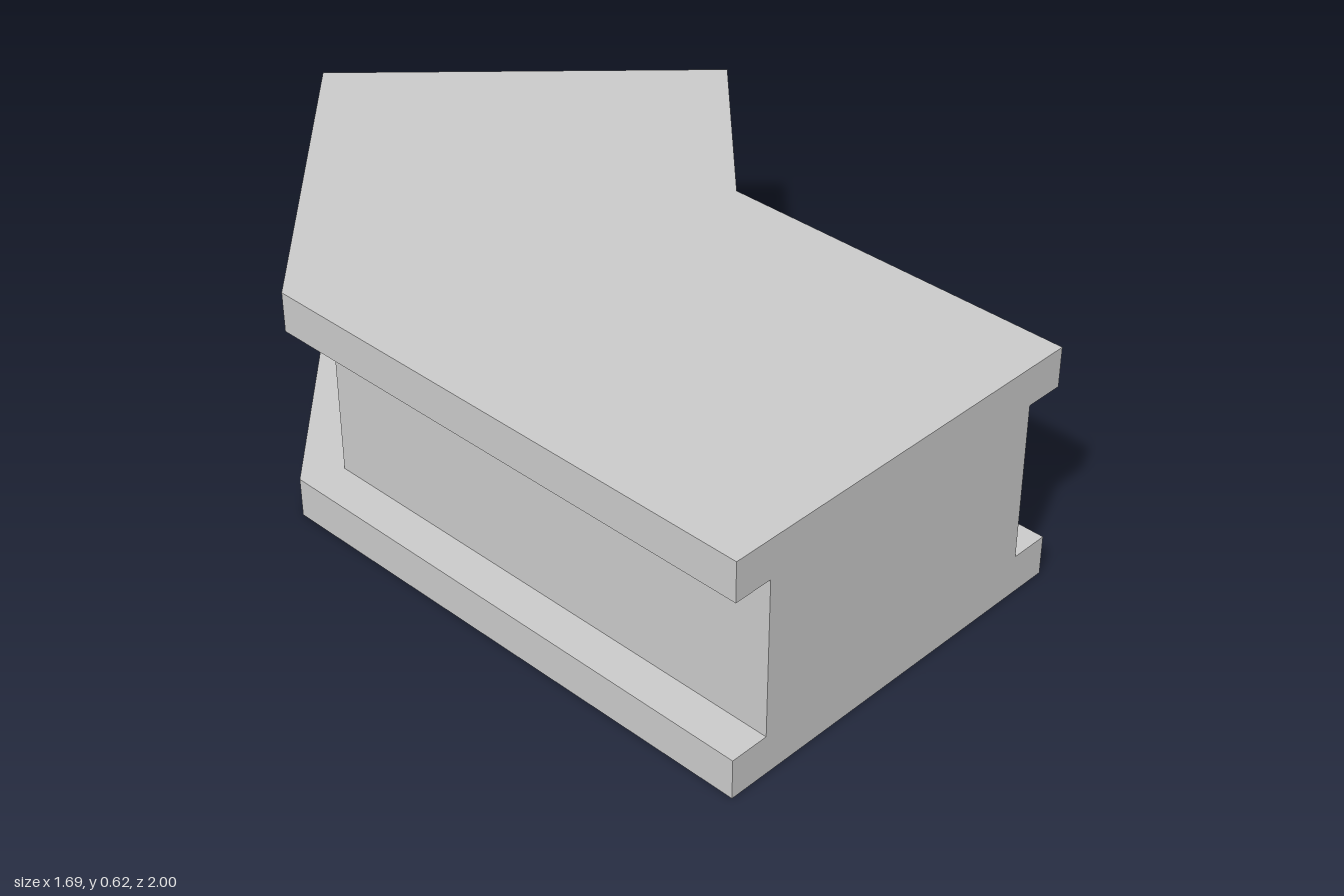
import * as THREE from 'three';

// I-beam section, counter-clockwise: [fraction across the width, height]
const H = 0.615, LOW = 0.103, HIGH = 0.513, INSET = 0.098;
const section = [
  [0, 0], [1, 0], [1, LOW], [1 - INSET, LOW], [1 - INSET, HIGH], [1, HIGH],
  [1, H], [0, H], [0, HIGH], [INSET, HIGH], [INSET, LOW], [0, LOW],
].map(([t, y]) => new THREE.Vector2(t, y));

// Stations along the bend: both edges in plan, the middle one is the mitre
const stations = [
  { a: [-0.845, -1], b: [0.175, -1] },
  { a: [-0.845, 0.03], b: [0.175, -0.395] },
  { a: [0.12, 1], b: [0.845, 0.275] },
];

function sweepSection() {
  const rings = stations.map(({ a, b }) => section.map(({ x: t, y }) => [
    a[0] + (b[0] - a[0]) * t, y, a[1] + (b[1] - a[1]) * t,
  ]));
  const positions = [];
  const tri = (p, q, r) => positions.push(...p, ...q, ...r);

  // Sides between neighbouring stations
  for (let s = 0; s < rings.length - 1; s++) {
    const near = rings[s], far = rings[s + 1];
    for (let i = 0; i < section.length; i++) {
      const j = (i + 1) % section.length;
      tri(near[i], near[j], far[j]);
      tri(near[i], far[j], far[i]);
    }
  }

  // End faces
  const first = rings[0], last = rings[rings.length - 1];
  for (const [i, j, k] of THREE.ShapeUtils.triangulateShape(section, [])) {
    tri(first[i], first[k], first[j]);
    tri(last[i], last[j], last[k]);
  }

  const geometry = new THREE.BufferGeometry();
  geometry.setAttribute('position', new THREE.Float32BufferAttribute(positions, 3));
  geometry.computeVertexNormals();
  return geometry;
}

export function createModel() {
  const group = new THREE.Group();
  group.name = 'angledBeam';
  const material = new THREE.MeshStandardMaterial({ color: 0xcccccc, flatShading: true });
  const beam = new THREE.Mesh(sweepSection(), material);
  beam.name = 'bentBeam';
  group.add(beam);
  return group;
}
